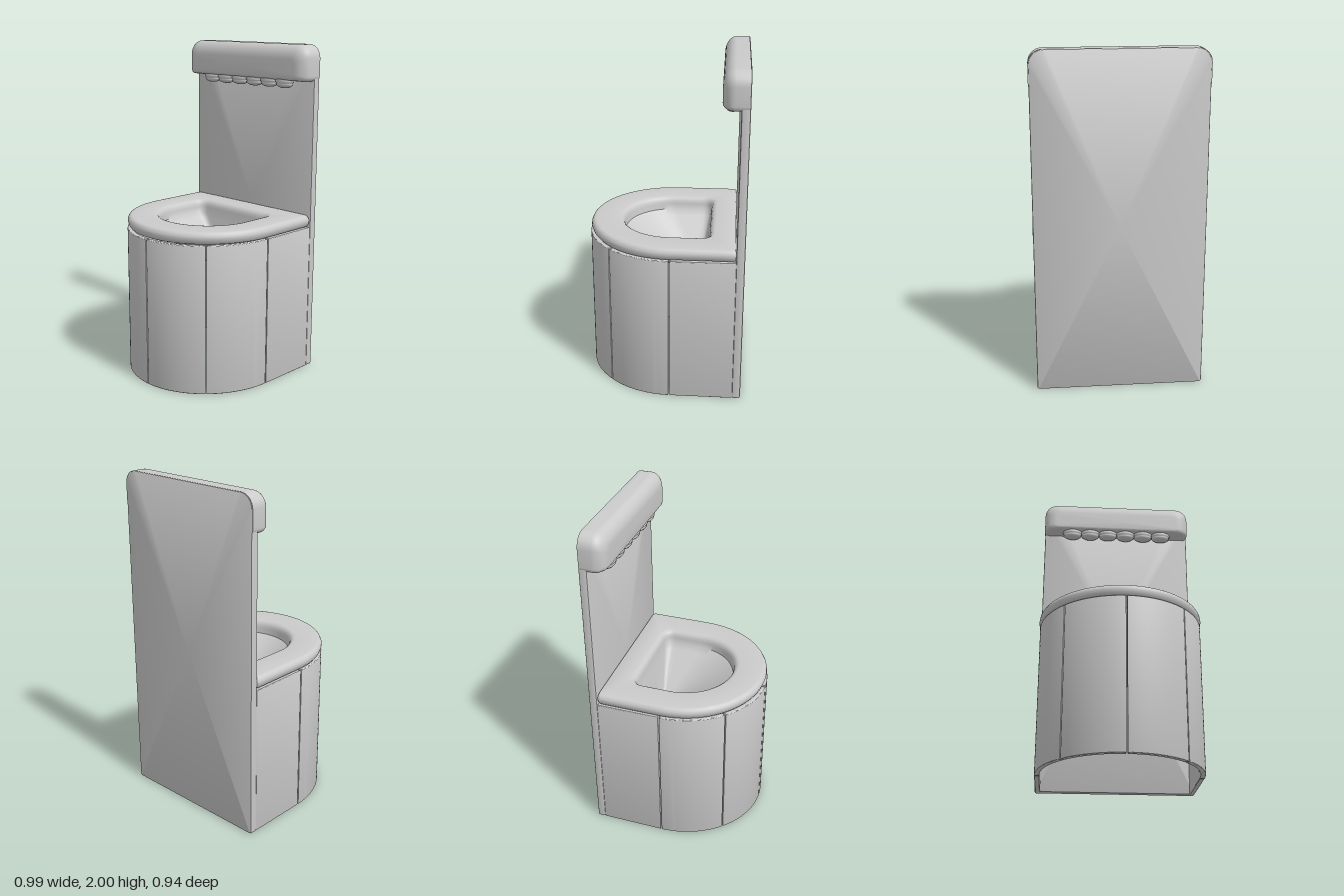
import * as THREE from 'three';
import { toCreasedNormals } from 'three/addons/utils/BufferGeometryUtils.js';

const material = new THREE.MeshStandardMaterial({ color: 0xcccccc, side: THREE.DoubleSide });
const V = (x, y, z) => new THREE.Vector3(x, y, z);

// Skin a list of closed loops that all have the same number of points
function loft(rings, crease = 0.6) {
  const n = rings[0].length, index = [];
  for (let i = 0; i < rings.length - 1; i++) {
    for (let j = 0; j < n; j++) {
      const a = i * n + j, b = i * n + (j + 1) % n;
      index.push(a, a + n, b, b, a + n, b + n);
    }
  }
  const geometry = new THREE.BufferGeometry().setFromPoints(rings.flat());
  geometry.setIndex(index);
  return toCreasedNormals(geometry, crease);
}

function addMesh(parent, name, geometry) {
  const mesh = new THREE.Mesh(geometry, material);
  mesh.name = name;
  parent.add(mesh);
  return mesh;
}

// Upright rounded rectangle at depth z, clockwise from the front
function rectLoop(hw, y0, y1, rTop, rBottom, z) {
  const pts = [];
  const corner = (cx, cy, r, start) => {
    for (let k = 0; k <= 8; k++) {
      const a = start - (k / 8) * Math.PI / 2;
      pts.push(V(cx + r * Math.cos(a), cy + r * Math.sin(a), z));
    }
  };
  corner(-hw + rTop, y1 - rTop, rTop, Math.PI);
  corner(hw - rTop, y1 - rTop, rTop, Math.PI / 2);
  corner(hw - rBottom, y0 + rBottom, rBottom, 0);
  corner(-hw + rBottom, y0 + rBottom, rBottom, -Math.PI / 2);
  return pts;
}

// Level D-shaped loop: straight back, rounded back corners, elliptical front
function dLoop(hw, zBack, zMid, depth, r, y) {
  const half = [];
  for (let k = 0; k <= 8; k++) half.push(V((hw - r) * k / 8, y, zBack));
  for (let k = 1; k <= 6; k++) {
    const a = (k / 6) * Math.PI / 2;
    half.push(V(hw - r + r * Math.sin(a), y, zBack + r - r * Math.cos(a)));
  }
  for (let k = 1; k <= 6; k++) half.push(V(hw, y, zBack + r + (zMid - zBack - r) * k / 6));
  for (let k = 1; k <= 32; k++) {
    const a = (k / 32) * Math.PI / 2;
    half.push(V(hw * Math.cos(a), y, zMid + depth * Math.sin(a)));
  }
  const mirrored = half.slice(1, -1).reverse().map(p => V(-p.x, p.y, p.z));
  return [...half, ...mirrored];
}

// Rim and bowl as one closed shell ending in an open drain
function basinGeometry() {
  const outer = (d, y) => dLoop(0.492 - d, -0.42 + d * 0.3, -0.04, 0.507 - d, 0.02, y);
  const inner = (d, y) => dLoop(0.295 + d, -0.26 - d, -0.03, 0.293 + d, 0.05 + d, y);
  const drain = (r, y) => inner(0, y).map(p => {
    const a = Math.atan2(p.z + 0.19, p.x);
    return V(r * Math.cos(a), y, -0.19 + r * Math.sin(a));
  });
  const rings = [
    outer(0.07, 0.905), outer(0.03, 0.905), outer(0.016, 0.911), outer(0.006, 0.924),
    outer(0, 0.945), outer(0.002, 0.958), outer(0.01, 0.972), outer(0.018, 0.978), outer(0.03, 0.98),
    inner(0.035, 0.98), inner(0.022, 0.977), inner(0.01, 0.968), inner(0.002, 0.952), inner(0, 0.935),
  ];
  const top = inner(-0.004, 0.9), bottom = drain(0.013, 0.6);
  for (let k = 0; k <= 10; k++) rings.push(top.map((p, j) => p.clone().lerp(bottom[j], k / 10)));
  rings.push(drain(0.013, 0.58), drain(0.03, 0.575), inner(0.025, 0.88), inner(0.04, 0.905), outer(0.07, 0.905));
  return loft(rings, 0.7);
}

// Wall panel made from plan points (x, z), extruded upward with softened edges
function wallGeometry(points) {
  const b = 0.006;
  const shape = new THREE.Shape(points.map(([x, z]) => new THREE.Vector2(x, -z)));
  const geometry = new THREE.ExtrudeGeometry(shape, {
    depth: 0.905 - 2 * b, bevelThickness: b, bevelSize: b, bevelOffset: -b, bevelSegments: 3,
  });
  geometry.rotateX(-Math.PI / 2).translate(0, b, 0);
  return toCreasedNormals(geometry, 0.5);
}

function curvedWall(a0, a1) {
  const outside = [], inside = [], gap = 0.007;
  for (let k = 0; k <= 20; k++) {
    const a = a0 + gap + (a1 - a0 - 2 * gap) * k / 20;
    outside.push([0.487 * Math.cos(a), -0.04 + 0.513 * Math.sin(a)]);
    inside.unshift([0.457 * Math.cos(a), -0.04 + 0.483 * Math.sin(a)]);
  }
  return wallGeometry([...outside, ...inside]);
}

export function createModel() {
  const model = new THREE.Group();
  model.name = 'washBasinUnit';

  // Tall back board
  const board = (d, z) => rectLoop(0.49 - d, d, 2 - d, 0.08, 0.012, z);
  const middle = z => board(0, z).map(() => V(0, 1, z));
  addMesh(model, 'backBoard', loft([
    middle(-0.47), board(0.007, -0.47), board(0.002, -0.467), board(0, -0.462),
    board(0, -0.428), board(0.002, -0.423), board(0.007, -0.42), middle(-0.42),
  ]));

  // Padded hood across the top, rounding over toward the front
  const hood = [board(0, 0).map(() => V(0, 1.9, -0.465)), rectLoop(0.493, 1.785, 2, 0.08, 0.03, -0.465)];
  for (let k = 0; k <= 10; k++) {
    const a = (k / 10) * Math.PI / 2, d = 1 - Math.cos(a);
    hood.push(rectLoop(0.493 - 0.08 * d, 1.785 + 0.025 * d, 2 - 0.085 * d,
      0.08 - 0.05 * d, 0.03 - 0.01 * d, -0.39 + 0.07 * Math.sin(a)));
  }
  hood.push(hood[0].map(() => V(0, 1.86, -0.32)));
  addMesh(model, 'hood', loft(hood));

  // Row of spouts under the hood
  const profile = [[0, -0.047], [0.025, -0.046], [0.045, -0.04], [0.057, -0.031], [0.06, -0.024],
    [0.056, -0.018], [0.064, -0.014], [0.066, -0.006], [0.062, 0.012]].map(p => new THREE.Vector2(...p));
  const spoutGeometry = new THREE.LatheGeometry(profile, 32);
  for (let i = 0; i < 6; i++) {
    const spout = addMesh(model, 'spout', spoutGeometry);
    spout.position.set((i - 2.5) * 0.121, 1.788, -0.373);
    spout.scale.z = 0.62;
  }

  // Basin with rounded rim
  addMesh(model, 'basin', basinGeometry());

  // Hollow skirt: four curved panels and two straight side panels
  const skirt = new THREE.Group();
  skirt.name = 'skirt';
  model.add(skirt);
  for (let i = 0; i < 4; i++) addMesh(skirt, 'curvedPanel', curvedWall(i * Math.PI / 4, (i + 1) * Math.PI / 4));
  for (const s of [-1, 1]) {
    addMesh(skirt, 'sidePanel', wallGeometry([
      [s * 0.457, -0.421], [s * 0.487, -0.421], [s * 0.487, -0.044], [s * 0.457, -0.044],
    ]));
  }
  return model;
}
